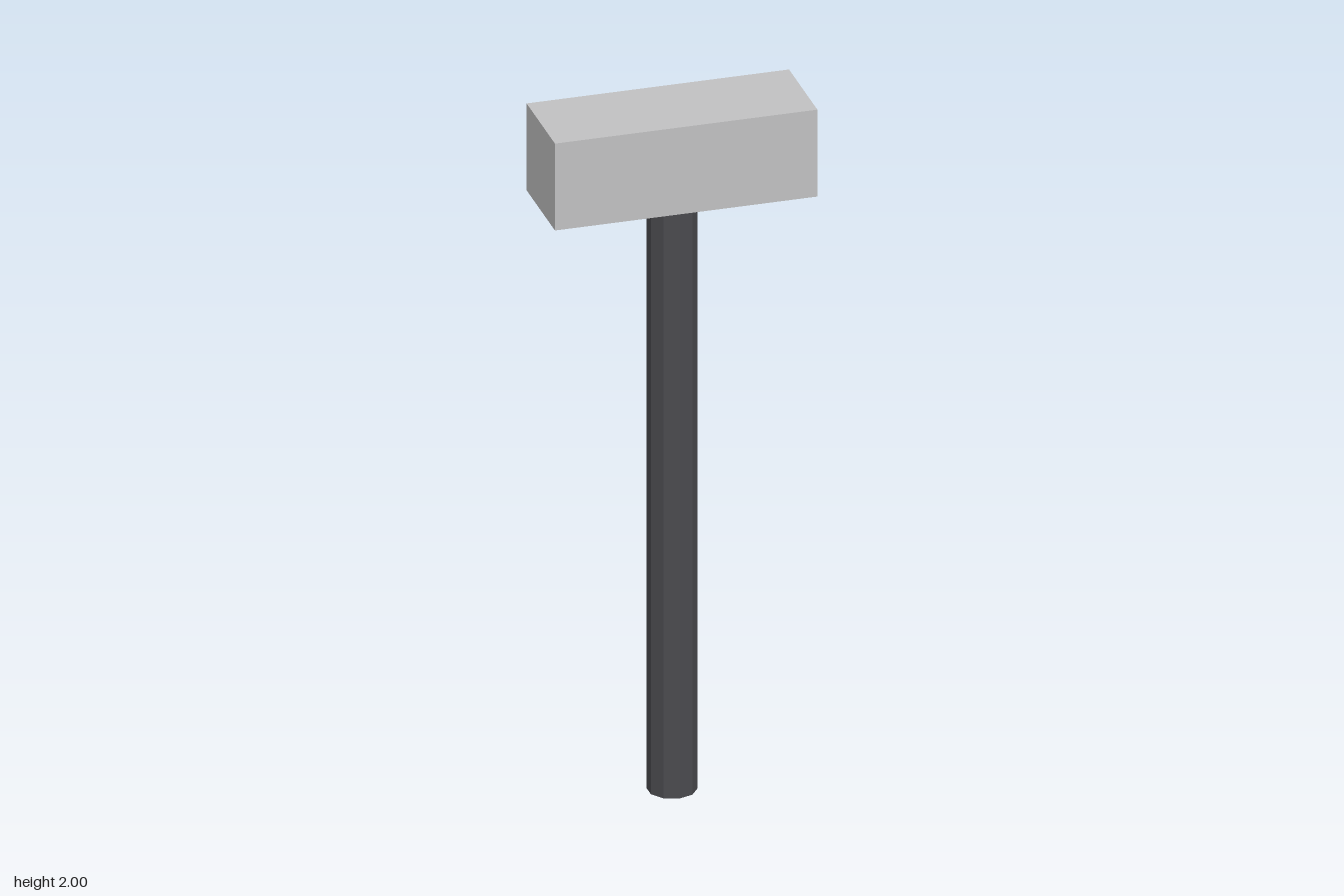
import * as THREE from 'three';

export function createModel() {
  const model = new THREE.Group();
  model.name = 'hammer';

  const steel = new THREE.MeshStandardMaterial({ color: 0xc0c0c1 });
  steel.name = 'light grey';
  const grip = new THREE.MeshStandardMaterial({ color: 0x4a4a4e });
  grip.name = 'dark grey';

  const headHeight = 0.255;
  const handleHeight = 2 - headHeight;

  // Ten-sided handle; unshared vertices give each side a flat normal
  const handleGeometry = new THREE.CylinderGeometry(0.068, 0.068, handleHeight, 10).toNonIndexed();
  handleGeometry.computeVertexNormals();
  const handle = new THREE.Mesh(handleGeometry, grip);
  handle.name = 'handle';
  handle.position.y = handleHeight / 2;
  model.add(handle);

  // Block head resting on the handle
  const head = new THREE.Mesh(new THREE.BoxGeometry(0.727, headHeight, 0.26), steel);
  head.name = 'head';
  head.position.y = 2 - headHeight / 2;
  model.add(head);

  return model;
}
